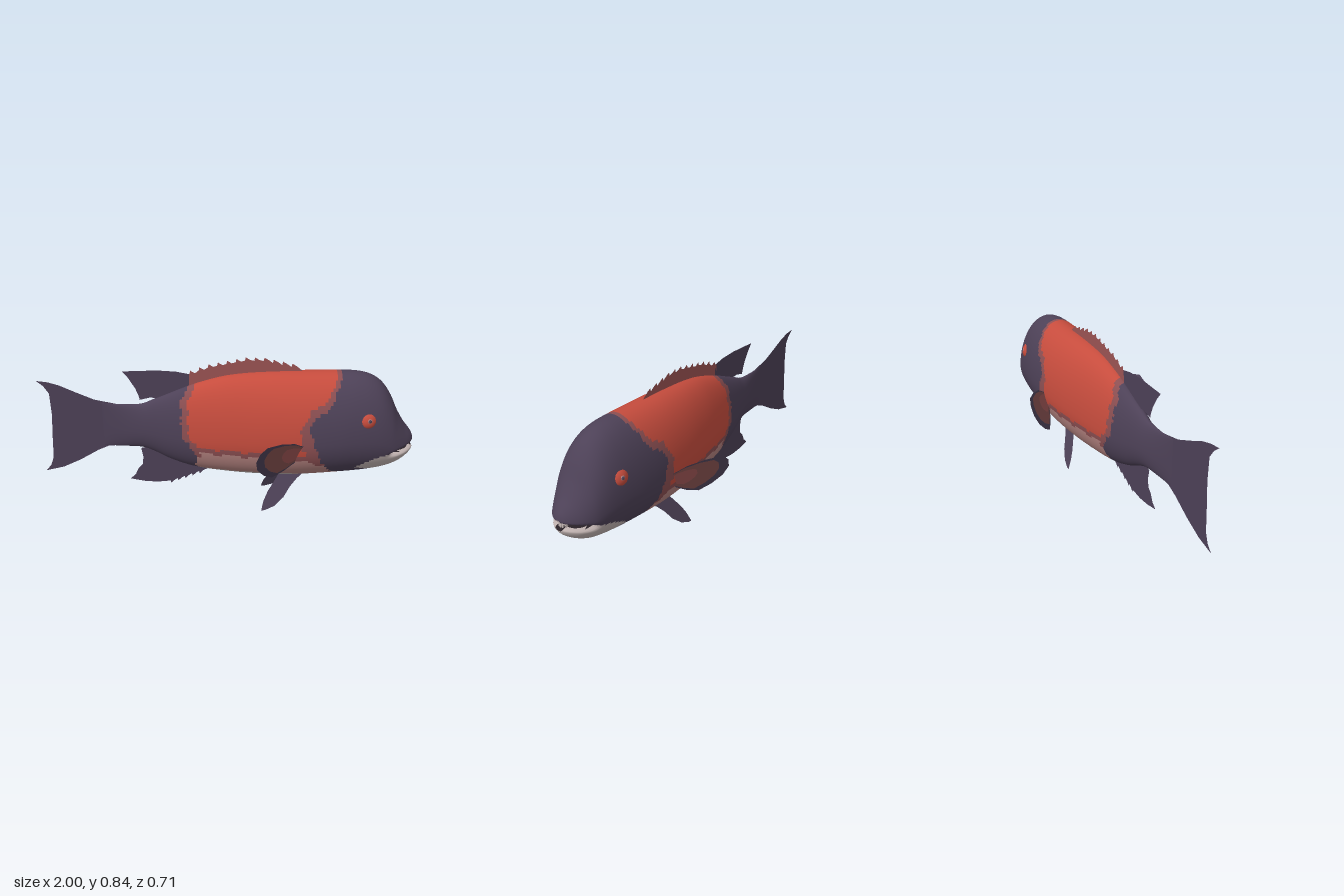
import * as THREE from 'three';

const mat = (name, color, side = THREE.FrontSide) => {
  const m = new THREE.MeshStandardMaterial({ color, side });
  m.name = name;
  return m;
};

// piecewise linear lookup in a list of [key, value]
const lerpTable = (table, k) => {
  if (k <= table[0][0]) return table[0][1];
  for (let i = 1; i < table.length; i++) {
    const [a, va] = table[i - 1], [b, vb] = table[i];
    if (k <= b) return va + (vb - va) * (k - a) / (b - a);
  }
  return table[table.length - 1][1];
};

// body stations: x, top, bottom, half width
const STATIONS = [
  [-0.66, 0.57, 0.32, 0.002], [-0.55, 0.565, 0.318, 0.02], [-0.45, 0.57, 0.315, 0.041],
  [-0.38, 0.598, 0.29, 0.056], [-0.3, 0.632, 0.25, 0.074], [-0.2, 0.675, 0.215, 0.096],
  [-0.1, 0.71, 0.196, 0.117], [0, 0.737, 0.186, 0.136], [0.1, 0.752, 0.179, 0.152],
  [0.2, 0.76, 0.176, 0.166], [0.3, 0.765, 0.176, 0.176], [0.4, 0.767, 0.181, 0.183],
  [0.5, 0.769, 0.19, 0.185], [0.6, 0.771, 0.2, 0.182], [0.68, 0.769, 0.208, 0.175],
  [0.75, 0.753, 0.217, 0.166], [0.81, 0.715, 0.228, 0.155], [0.86, 0.648, 0.242, 0.141],
  [0.9, 0.565, 0.26, 0.124], [0.94, 0.498, 0.284, 0.099], [0.97, 0.46, 0.308, 0.072],
  [0.99, 0.432, 0.33, 0.046], [1.0, 0.405, 0.35, 0.026],
];

// colour borders
const HEAD_EDGE = [[0.18, 0.69], [0.21, 0.64], [0.25, 0.56], [0.31, 0.51], [0.42, 0.47],
  [0.51, 0.435], [0.575, 0.46], [0.605, 0.53], [0.67, 0.565], [0.77, 0.6]];
const BAND_EDGE = [[0.18, 0.68], [0.22, 0.6], [0.28, 0.48], [0.4, 0.4], [0.5, 0.395],
  [0.6, 0.44], [0.65, 0.515], [0.7, 0.55], [0.77, 0.575]];
const TAIL_EDGE = [[0.2, -0.15], [0.33, -0.16], [0.42, -0.225], [0.6, -0.235], [0.7, -0.19]];
const CHIN_TOP = [[0.69, 0.275], [0.72, 0.3], [0.8, 0.343], [0.85, 0.355], [1, 0.376]];
const CHIN_LOW = [[0.69, 0.27], [0.76, 0.25], [0.785, 0.2]];
const [DARK, RED, BAND, PINK, PALE, MOUTH] = [0, 1, 2, 3, 4, 5];

function region(x, y, groove) {
  if (groove > 0.4) return MOUTH;
  if (x > 0.69 && y < lerpTable(CHIN_TOP, x) && y > lerpTable(CHIN_LOW, x)) return PALE;
  const wave = 0.006 * Math.sin(y * 70) + 0.004 * Math.sin(y * 151);
  if (x > lerpTable(HEAD_EDGE, y) + wave) return DARK;
  const tail = lerpTable(TAIL_EDGE, y) + wave;
  if (x < tail) return DARK;
  if (y < 0.215) return PALE;
  if (x > lerpTable(BAND_EDGE, y) + wave || x < tail + 0.035) return y < 0.3 ? PINK : BAND;
  if (y < 0.335 + 0.006 * Math.sin(x * 45)) return PINK;
  return y < 0.365 + 0.006 * Math.sin(x * 45) ? BAND : RED;
}

const catmull = (a, b, c, d, t) => 0.5 * (2 * b + (c - a) * t
  + (2 * a - 5 * b + 4 * c - d) * t * t + (3 * b - a - 3 * c + d) * t * t * t);

// egg-shaped cross-sections lofted along x, with a groove for the mouth
function bodyGeometry() {
  const SUB = 8, AROUND = 96, rows = [], last = STATIONS.length - 1;
  for (let i = 0; i < last; i++) {
    for (let s = 0; s < SUB; s++) {
      const p = [i - 1, i, i + 1, i + 2].map(k => STATIONS[Math.min(last, Math.max(0, k))]);
      rows.push([0, 1, 2, 3].map(c => catmull(p[0][c], p[1][c], p[2][c], p[3][c], s / SUB)));
    }
  }
  rows.push(STATIONS[last], [1.0, 0.379, 0.379, 0]);
  const pos = [], info = [];
  for (const [x, top, bottom, w] of rows) {
    const mid = bottom + (top - bottom) * 0.41;
    const open = THREE.MathUtils.smoothstep(x, 0.84, 0.97);
    const lip = 0.345 + 0.2 * Math.max(0, x - 0.83);
    for (let j = 0; j < AROUND; j++) {
      const a = j / AROUND * Math.PI * 2, s = Math.sin(a);
      const y = mid + s * (s > 0 ? top - mid : mid - bottom);
      const g = open * Math.exp(-(((y - lip) / 0.011) ** 2));
      pos.push(x - 0.06 * g, y, Math.cos(a) * w * (1 - 0.25 * g));
      info.push([x, y, g]);
    }
  }
  const buckets = [[], [], [], [], [], []];
  for (let i = 0; i < rows.length - 1; i++) {
    for (let j = 0; j < AROUND; j++) {
      const k = (j + 1) % AROUND;
      const a = i * AROUND + j, b = a + AROUND, c = (i + 1) * AROUND + k, d = i * AROUND + k;
      const m = [0, 1, 2].map(n => (info[a][n] + info[b][n] + info[c][n] + info[d][n]) / 4);
      buckets[region(...m)].push(a, b, c, a, c, d);
    }
  }
  const g = new THREE.BufferGeometry();
  g.setAttribute('position', new THREE.Float32BufferAttribute(pos, 3));
  g.setIndex(buckets.flat());
  let start = 0;
  buckets.forEach((b, n) => { g.addGroup(start, b.length, n); start += b.length; });
  g.computeVertexNormals();
  return g;
}

// flat fin from an outline in x and y; zOf leans it out of the middle plane
function finGeometry(points, zOf = () => 0) {
  const g = new THREE.ShapeGeometry(new THREE.Shape(points.map(p => new THREE.Vector2(...p))));
  const p = g.attributes.position;
  for (let i = 0; i < p.count; i++) p.setZ(i, zOf(p.getX(i), p.getY(i)));
  g.computeVertexNormals();
  return g;
}

export function createModel() {
  const D = THREE.DoubleSide;
  const dark = mat('dark purple', 0x4d4157), red = mat('red', 0xc64c3d);
  const band = mat('brownish red', 0x8c4f52), pink = mat('dusty pink', 0xb58380);
  const pale = mat('pale grey', 0xbfb1af), mouth = mat('mouth black', 0x2a2228);
  const finDark = mat('fin purple', 0x4d4157, D), finRed = mat('fin red', 0x9c5454, D);
  const finBrown = mat('fin brown', 0x85504f, D);

  const fish = new THREE.Group();
  fish.name = 'fish';
  const add = (name, geo, material, parent = fish) => {
    const m = new THREE.Mesh(geo, material);
    m.name = name;
    parent.add(m);
    return m;
  };

  add('body', bodyGeometry(), [dark, red, band, pink, pale, mouth]);

  // fins on the middle plane
  add('tailFin', finGeometry([[-0.5, 0.55], [-0.6, 0.57], [-0.7, 0.59], [-0.8, 0.632], [-0.88, 0.668],
    [-0.94, 0.685], [-1, 0.692], [-0.965, 0.662], [-0.938, 0.62], [-0.935, 0.5], [-0.945, 0.36],
    [-0.952, 0.24], [-0.97, 0.19], [-1, 0.155], [-0.9, 0.18], [-0.8, 0.228], [-0.7, 0.288],
    [-0.64, 0.315], [-0.5, 0.33]]), finDark);
  add('rearDorsalFin', finGeometry([[-0.19, 0.65], [-0.19, 0.742], [-0.26, 0.755], [-0.36, 0.76],
    [-0.45, 0.756], [-0.54, 0.752], [-0.51, 0.715], [-0.475, 0.655], [-0.46, 0.615], [-0.455, 0.592],
    [-0.4, 0.606], [-0.3, 0.6]]), finDark);

  // spiny dorsal fin: backward leaning points
  const spiny = [[0.41, 0.74], [0.4, 0.768]];
  for (let i = 0; i < 12; i++) {
    const x = 0.345 - i * 0.048;
    const h = lerpTable([[-0.21, 0.75], [-0.1, 0.795], [0.1, 0.838], [0.2, 0.838], [0.4, 0.795]], x);
    spiny.push([x + 0.024, h - 0.014], [x, h], [x - 0.004, h - 0.018]);
  }
  spiny.push([-0.2, 0.74], [-0.2, 0.65], [0, 0.7]);
  add('spinyDorsalFin', finGeometry(spiny), finRed);

  // anal fin with a ragged front edge
  const anal = [[-0.05, 0.22], [-0.09, 0.19]];
  for (let i = 0; i < 5; i++) {
    const x = -0.13 - i * 0.04, y = 0.167 - i * 0.016;
    anal.push([x + 0.008, y + 0.006], [x - 0.012, y - 0.014], [x - 0.016, y]);
  }
  anal.push([-0.38, 0.094], [-0.45, 0.098], [-0.53, 0.112], [-0.5, 0.14], [-0.482, 0.18],
    [-0.458, 0.205], [-0.452, 0.25], [-0.462, 0.305], [-0.4, 0.32], [-0.2, 0.26]);
  add('analFin', finGeometry(anal), finDark);

  // paired fins and eyes
  const pectoral = [[0.41, 0.42], [0.36, 0.462], [0.29, 0.487], [0.22, 0.492], [0.185, 0.462],
    [0.165, 0.41], [0.172, 0.35], [0.205, 0.295], [0.25, 0.258], [0.31, 0.28], [0.38, 0.325]];
  const root = [0.405, 0.385];
  const zones = [['Root', 0, 0.45, finRed], ['Middle', 0.45, 0.83, finBrown], ['Tip', 0.83, 1, finDark]];
  for (const [name, s] of [['left', -1], ['right', 1]]) {
    const side = new THREE.Group();
    side.name = name === 'left' ? 'farSideParts' : 'nearSideParts';
    fish.add(side);

    const lean = (x, y) => s * (0.172 + 0.69 * (0.41 - x) + 0.436 * (y - 0.4));
    const ring = t => pectoral.map(p => [0, 1].map(k => root[k] + (p[k] - root[k]) * t));
    for (const [zone, a, b, m] of zones) {
      add('pectoralFin' + zone, finGeometry([...ring(b), ...(a ? ring(a).reverse() : [root])], lean), m, side);
    }

    add('pelvicFin', finGeometry([[0.43, 0.2], [0.39, 0.165], [0.355, 0.125], [0.32, 0.07], [0.27, 0.025],
      [0.22, 0.004], [0.2, 0.001], [0.212, 0.05], [0.235, 0.1], [0.265, 0.145], [0.3, 0.2]],
      (x, y) => s * (0.05 + (0.19 - y) * 0.45)), finDark, side);

    const eye = new THREE.Group();
    eye.name = 'eye';
    eye.position.set(0.735, 0.555, s * 0.139);
    eye.rotation.set(-s * 0.25, s * 0.2, 0);
    side.add(eye);
    const ball = (part, r, depth, m) =>
      add(part, new THREE.SphereGeometry(r, 24, 16), m, eye).scale.set(1, 1, depth / r);
    ball('iris', 0.044, 0.029, red);
    ball('irisRing', 0.024, 0.032, pink);
    ball('pupil', 0.017, 0.0345, dark);
  }

  // small front teeth
  for (let i = -2; i <= 2; i++) {
    for (const [name, y] of [['upperTooth', 0.39], ['lowerTooth', 0.37]]) {
      add(name, new THREE.BoxGeometry(0.012, 0.016, 0.009), pale)
        .position.set(0.982 - 0.003 * i * i, y, i * 0.011);
    }
  }
  return fish;
}
